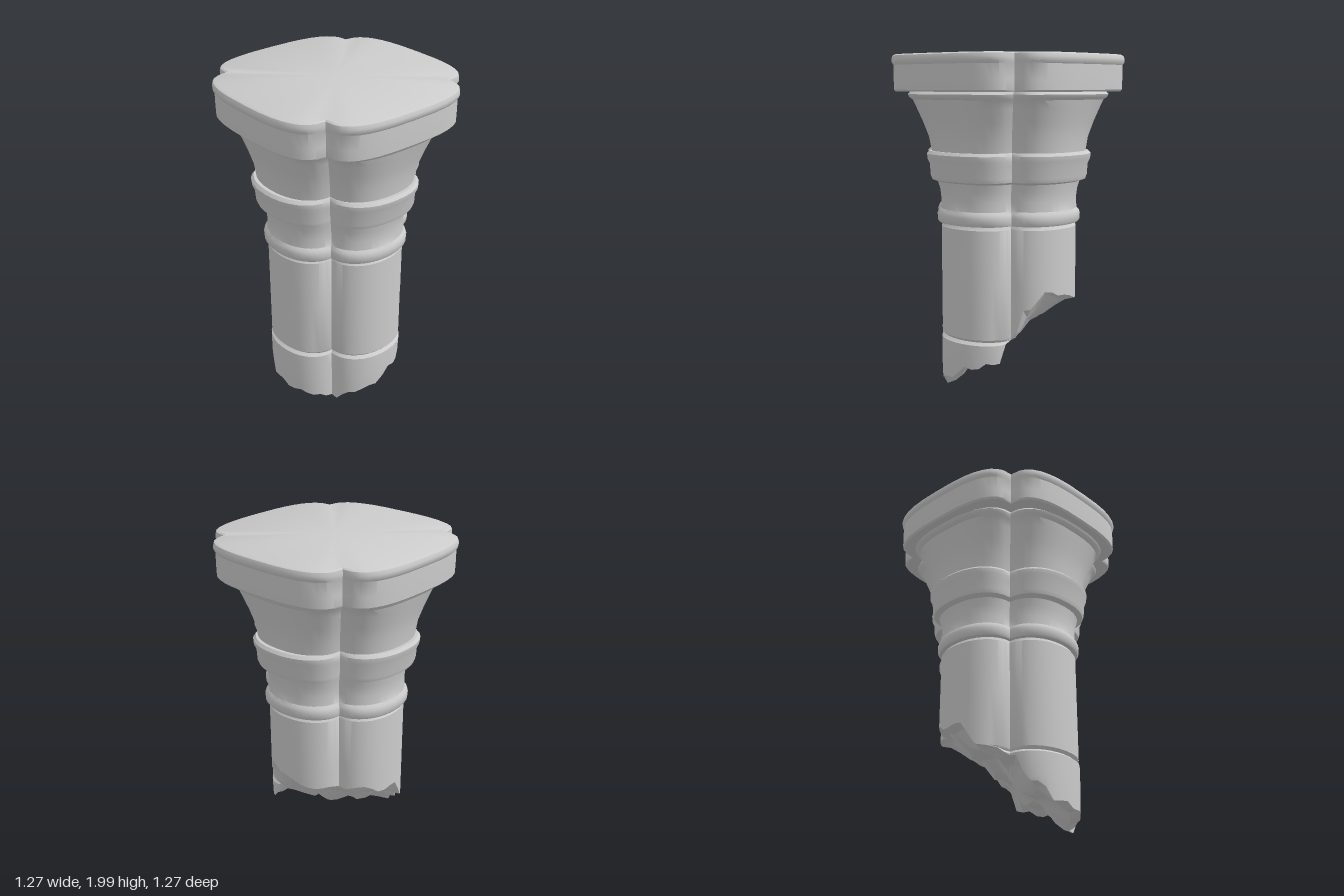
import * as THREE from 'three';
import { toCreasedNormals } from 'three/addons/utils/BufferGeometryUtils.js';

const SEG = 16; // steps per lobe
const SHAFT = [0.44, 0.245, 2.1];

// Quatrefoil outline: four lobes of reach R meeting in notches at (n, n); e squares the lobes off
function quatrefoil(R, n, e) {
  const pts = [];
  for (let lobe = 0; lobe < 4; lobe++) {
    for (let i = 0; i < SEG; i++) {
      const t = -Math.PI / 2 + (Math.PI * i) / SEG;
      const c = i === 0 ? 0 : Math.cos(t), s = Math.sin(t);
      let x = n + (R - n) * Math.pow(c, 2 / e);
      let z = n * Math.sign(s) * Math.pow(Math.abs(s), 2 / e);
      for (let k = 0; k < lobe; k++) [x, z] = [-z, x];
      pts.push([x, z]);
    }
  }
  return pts;
}

// Skin rings of points, ordered from the top down, leaving out collapsed triangles
function skin(rings, name, crease) {
  const pos = [];
  const tri = (a, b, c) => {
    const ab = new THREE.Vector3().subVectors(b, a);
    const ac = new THREE.Vector3().subVectors(c, a);
    if (ab.cross(ac).length() < 1e-9) return;
    for (const p of [a, b, c]) pos.push(p.x, p.y, p.z);
  };
  for (let r = 0; r < rings.length - 1; r++) {
    const A = rings[r], B = rings[r + 1];
    for (let i = 0; i < A.length; i++) {
      const j = (i + 1) % A.length;
      tri(A[i], A[j], B[i]);
      tri(A[j], B[j], B[i]);
    }
  }
  const geo = new THREE.BufferGeometry();
  geo.setAttribute('position', new THREE.Float32BufferAttribute(pos, 3));
  const mesh = new THREE.Mesh(toCreasedNormals(geo, crease),
    new THREE.MeshStandardMaterial({ color: 0xcccccc, side: THREE.DoubleSide }));
  mesh.name = name;
  return mesh;
}

// Moulding from rows of [height, reach, notch, squareness]
function moulding(rows, name) {
  const rings = rows.map(([y, R, n, e]) =>
    quatrefoil(R, n, e).map(([x, z]) => new THREE.Vector3(x, y, z)));
  return skin(rings, name, 0.6);
}

// Heights of the broken end at a few places: [x, z, y]
const BREAK = [
  [0.44, 0, 0.61], [0.42, 0.12, 0.66], [0.34, 0.23, 0.55], [0.245, 0.245, 0.36], [0.34, -0.23, 0.57],
  [0.21, 0.34, 0.23], [0.1, 0.43, 0.2], [-0.08, 0.43, 0.12], [-0.2, 0.38, 0.08], [-0.25, 0.25, 0.01],
  [-0.34, 0.23, 0.04], [-0.44, 0.08, 0.06], [-0.44, -0.06, 0.08], [-0.38, -0.19, 0.17],
  [-0.25, -0.25, 0.33], [-0.2, -0.36, 0.37], [0, -0.44, 0.52], [0.2, -0.36, 0.57],
  [0, 0, 0.3], [0.2, 0, 0.46], [-0.2, 0, 0.16], [0, 0.22, 0.2], [0, -0.22, 0.4],
];
function breakHeight(x, z) {
  let sum = 0, weight = 0;
  for (const [px, pz, py] of BREAK) {
    const w = 1 / Math.pow((x - px) ** 2 + (z - pz) ** 2 + 1e-5, 1.6);
    sum += w * py;
    weight += w;
  }
  const chips = 0.012 * Math.sin(31 * x + 9 * z) * Math.sin(27 * z - 11 * x);
  return Math.max(0, sum / weight + chips);
}

export function createModel() {
  const group = new THREE.Group();
  group.name = 'brokenColumn';

  // Slab on top, with a softened upper edge
  group.add(moulding([
    [2.0, 0, 0, 2.8], [2.0, 0.612, 0.43, 2.8], [1.993, 0.627, 0.438, 2.8], [1.975, 0.635, 0.44, 2.8],
    [1.955, 0.633, 0.44, 2.8], [1.94, 0.622, 0.435, 2.8], [1.86, 0.622, 0.435, 2.8],
    [1.8, 0.62, 0.435, 2.8], [1.79, 0.61, 0.43, 2.8], [1.788, 0, 0, 2.8],
  ], 'abacus'));

  // Flared bell
  group.add(moulding([
    [1.79, 0.56, 0.37, 2.5], [1.775, 0.58, 0.375, 2.5], [1.758, 0.572, 0.37, 2.5], [1.745, 0.55, 0.36, 2.5],
    [1.7, 0.537, 0.345, 2.4], [1.62, 0.512, 0.32, 2.3], [1.53, 0.49, 0.295, 2.2], [1.44, 0.482, 0.28, 2.2],
  ], 'bell'));

  // Rounded ring under the bell
  group.add(moulding([
    [1.45, 0.47, 0.27, 2.2], [1.452, 0.505, 0.285, 2.2], [1.435, 0.52, 0.295, 2.2], [1.405, 0.515, 0.295, 2.2],
    [1.375, 0.5, 0.287, 2.2], [1.31, 0.495, 0.285, 2.2], [1.285, 0.485, 0.28, 2.2], [1.27, 0.445, 0.255, 2.2],
  ], 'ring'));

  // Neck with a small bead at its foot
  group.add(moulding([
    [1.28, 0.455, 0.26, 2.2], [1.23, 0.445, 0.25, 2.1], [1.17, 0.438, 0.245, 2.1], [1.115, 0.443, 0.247, 2.1],
    [1.1, 0.455, 0.257, 2.1], [1.08, 0.461, 0.262, 2.1], [1.045, 0.459, 0.26, 2.1],
    [1.033, 0.45, 0.255, 2.1], [1.03, 0.42, 0.23, 2.1],
  ], 'neck'));

  // Shaft with a joint groove, its lower rows lifted to the broken edge
  const outline = quatrefoil(...SHAFT);
  const edge = outline.map(([x, z]) => breakHeight(x, z));
  const rows = [[1.04, 0.96], [1.02, 0.98], [1.01, 1], [0.7, 1], [0.374, 1], [0.366, 0.985],
    [0.358, 0.965], [0.35, 0.985], [0.342, 1.01], [0.2, 1.01], [-1, 1]];
  const shaftRings = rows.map(([y, s]) => outline.map(([x, z], i) => {
    const k = y > edge[i] ? s : 1;
    return new THREE.Vector3(x * k, Math.max(y, edge[i]), z * k);
  }));
  group.add(skin(shaftRings, 'shaft', 0.6));

  // Rough broken face closing the shaft
  const faceRings = [1, 0.86, 0.7, 0.54, 0.38, 0.2, 0].map((k) => outline.map(([x, z]) =>
    new THREE.Vector3(x * k, breakHeight(x * k, z * k), z * k)));
  group.add(skin(faceRings, 'brokenFace', 0.35));

  return group;
}
